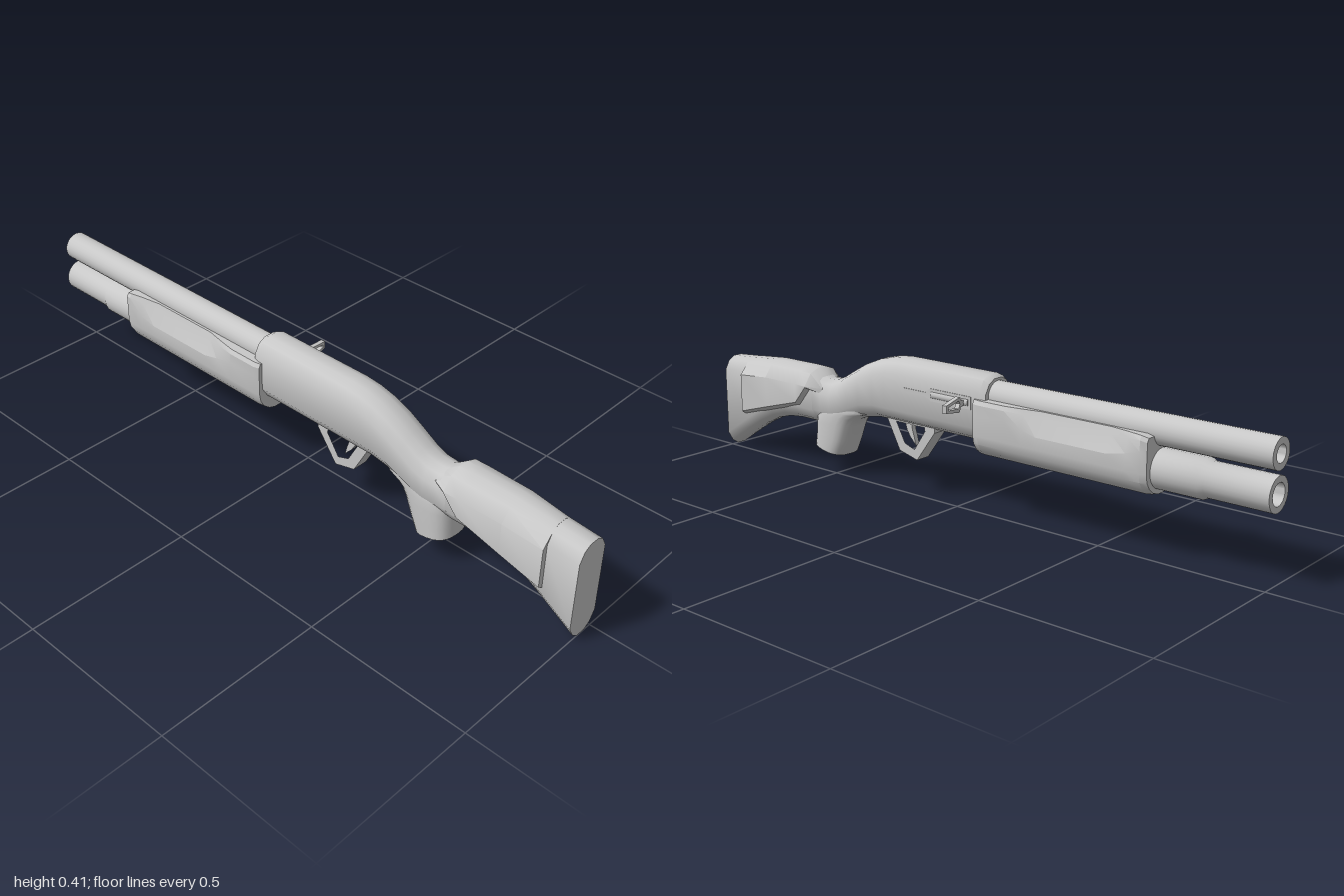
import * as THREE from 'three';
import { toCreasedNormals } from 'three/addons/utils/BufferGeometryUtils.js';

// Skin a list of equal-length rings and close both ends.
function loft(rings, crease = 0.7) {
  const pos = [], n = rings[0].length;
  const tri = (...p) => p.forEach(q => pos.push(...q));
  const mid = r => [0, 1, 2].map(k => r.reduce((s, p) => s + p[k], 0) / n);
  for (let j = 0; j < n; j++) {
    const k = (j + 1) % n;
    for (let i = 0; i + 1 < rings.length; i++) {
      const a = rings[i], b = rings[i + 1];
      tri(a[j], a[k], b[k]);
      tri(a[j], b[k], b[j]);
    }
    const first = rings[0], last = rings[rings.length - 1];
    tri(mid(first), first[k], first[j]);
    tri(mid(last), last[j], last[k]);
  }
  const g = new THREE.BufferGeometry();
  g.setAttribute('position', new THREE.Float32BufferAttribute(pos, 3));
  return toCreasedNormals(g, crease);
}

// Mirror a half profile (top to bottom, +x side) into a full ring at z.
const mirrorRing = (half, z) => [
  ...half.slice().reverse().map(([x, y]) => [x, y, z]),
  ...half.map(([x, y]) => [-x, y, z]),
];

// Slab with rounded top and bottom.
function slabRing([z, top, bottom, w]) {
  const c = Math.min(1, (top - bottom) / 0.12);
  return mirrorRing([
    [w * 0.28, top], [w * 0.69, top - 0.012 * c], [w, top - 0.042 * c],
    [w, bottom + 0.045 * c], [w * 0.69, bottom + 0.015 * c], [w * 0.28, bottom],
  ], z);
}

// Hollow round tube along z, from [radius, z] outline points.
function tube(outline) {
  const g = new THREE.LatheGeometry(outline.map(([r, z]) => new THREE.Vector2(r, z)), 24);
  g.rotateX(Math.PI / 2);
  return toCreasedNormals(g, 0.6);
}

// Flat plate with optional hole, centred on its thickness.
function plate(points, depth, hole) {
  const v = a => a.map(p => new THREE.Vector2(...p));
  const s = new THREE.Shape(v(points));
  if (hole) s.holes.push(new THREE.Path(v(hole)));
  return new THREE.ExtrudeGeometry(s, { depth, bevelEnabled: false }).translate(0, 0, -depth / 2);
}
const sidePlate = (...a) => plate(...a).rotateY(-Math.PI / 2); // points are (z, y)

export function createModel() {
  const model = new THREE.Group();
  const gun = new THREE.Group();
  gun.name = 'shotgun';
  gun.position.x = -0.039;
  model.add(gun);
  const grey = new THREE.MeshStandardMaterial({ color: 0xc8c8c8 });
  grey.name = 'grey';
  const add = (name, geometry) => {
    const m = new THREE.Mesh(geometry, grey);
    m.name = name;
    gun.add(m);
    return m;
  };

  // Receiver flowing back into the wrist
  add('receiver', loft([
    [-0.118, 0.397, 0.22, 0.056], [-0.1, 0.407, 0.21, 0.061], [0.22, 0.407, 0.21, 0.061],
    [0.27, 0.402, 0.21, 0.061], [0.32, 0.39, 0.21, 0.061], [0.38, 0.365, 0.2, 0.061],
    [0.43, 0.337, 0.18, 0.06], [0.475, 0.31, 0.16, 0.059], [0.51, 0.296, 0.15, 0.058],
    [0.55, 0.293, 0.15, 0.057], [0.6, 0.312, 0.15, 0.056],
  ].map(slabRing)));

  // Pistol grip: oval sections [front z, rear z, front y, rear y, half width]
  add('grip', loft([
    [0.475, 0.595, 0.06, 0.085, 0.061], [0.452, 0.592, 0.11, 0.115, 0.061],
    [0.432, 0.59, 0.16, 0.16, 0.061], [0.415, 0.588, 0.185, 0.185, 0.06],
    [0.39, 0.585, 0.2, 0.2, 0.058], [0.36, 0.58, 0.21, 0.21, 0.056],
    [0.36, 0.575, 0.23, 0.23, 0.054],
  ].map(([z0, z1, y0, y1, w]) => Array.from({ length: 24 }, (_, i) => {
    const a = (i / 24) * Math.PI * 2;
    const soft = v => Math.sign(v) * Math.abs(v) ** 0.75;
    const t = (1 - soft(Math.sin(a))) / 2;
    return [soft(Math.cos(a)) * w, y0 + (y1 - y0) * t, z0 + (z1 - z0) * t];
  }))));

  // Stock
  add('stock', loft([
    [0.55, 0.285, 0.155, 0.053], [0.595, 0.317, 0.148, 0.057], [0.67, 0.32, 0.148, 0.057],
    [0.73, 0.32, 0.142, 0.057], [0.79, 0.318, 0.125, 0.056], [0.85, 0.314, 0.095, 0.055],
    [0.9, 0.31, 0.065, 0.055], [1, 0.302, 0, 0.054],
  ].map(slabRing)));

  // Raised cheek panel on both sides: [z, top, bottom, half width, shoulder half width]
  add('cheekPanel', loft([
    [0.545, 0.285, 0.25, 0.05, 0.034], [0.595, 0.321, 0.255, 0.077, 0.05],
    [0.64, 0.322, 0.2, 0.077, 0.05], [0.78, 0.321, 0.161, 0.075, 0.047], [0.905, 0.31, 0.125, 0.071, 0.038],
  ].map(([z, t, b, w, s]) => mirrorRing([
    [0.016, t], [s, t - 0.013], [w, Math.max(t - 0.05, b + 0.016)], [w, b + 0.013], [0.052, b],
  ], z)), 0.65));

  // Barrel and magazine tube with open muzzles
  add('barrel', tube([[0, -0.9], [0.024, -0.9], [0.024, -1], [0.043, -1], [0.043, -0.1], [0, -0.1]]))
    .position.y = 0.347;
  add('magazineTube', tube([
    [0, -0.9], [0.031, -0.9], [0.031, -1], [0.049, -1], [0.049, -0.815],
    [0.056, -0.8], [0.056, -0.6], [0, -0.6],
  ])).position.y = 0.243;

  // Forend, scooped along the upper sides: [z, scoop, shrink]
  add('forend', loft([
    [-0.665, 0, 0.94], [-0.645, 0, 1], [-0.6, 0.5, 1], [-0.54, 1, 1], [-0.31, 1, 1],
    [-0.26, 0.5, 1], [-0.2, 0, 1], [-0.105, 0, 1], [-0.085, 0, 0.94],
  ].map(([z, s, k]) => mirrorRing([
    [0.042, 0.342], [0.07 - 0.02 * s, 0.342], [0.077 - 0.022 * s, 0.33 - 0.005 * s],
    [0.077, 0.3 - 0.025 * s], [0.077, 0.24], [0.072, 0.215], [0.058, 0.193], [0.036, 0.177], [0.012, 0.17],
  ].map(([x, y]) => [x * k, 0.255 + (y - 0.255) * (z < -0.5 ? k : 1)]), z)), 0.41));

  // Trigger guard and trigger
  add('triggerGuard', sidePlate(
    [[0.29, 0.215], [0.24, 0.122], [0.17, 0.104], [0.1, 0.2], [0.1, 0.215]], 0.05,
    [[0.252, 0.21], [0.218, 0.148], [0.18, 0.135], [0.138, 0.198], [0.14, 0.21]]));
  add('trigger', sidePlate(
    [[0.235, 0.215], [0.225, 0.185], [0.212, 0.165], [0.19, 0.142], [0.196, 0.166], [0.204, 0.19], [0.205, 0.215]], 0.016));

  // Ejection port details on the left side
  add('ejectionPort', sidePlate(
    [[0.1, 0.318], [0.1, 0.334], [0.08, 0.345], [-0.07, 0.345], [-0.07, 0.308], [0.08, 0.308]], 0.004))
    .position.x = 0.061;
  add('boltSlot', new THREE.BoxGeometry(0.004, 0.012, 0.09)).position.set(0.061, 0.325, 0.14);
  const bolt = add('bolt', new THREE.CylinderGeometry(0.014, 0.014, 0.14, 12).rotateX(Math.PI / 2));
  bolt.position.set(0.053, 0.327, 0.01);

  // Open-loop charging handle
  const handle = add('chargingHandle', plate(
    [[0, 0.318], [0.022, 0.317], [0.029, 0.301], [0.098, 0.313], [0.098, 0.335], [0.029, 0.346], [0.02, 0.334], [0, 0.332]], 0.014,
    [[0.034, 0.313], [0.027, 0.326], [0.034, 0.336], [0.088, 0.328], [0.088, 0.319]]));
  handle.position.set(0.058, 0, -0.038);
  handle.rotation.y = 0.15;

  return model;
}
